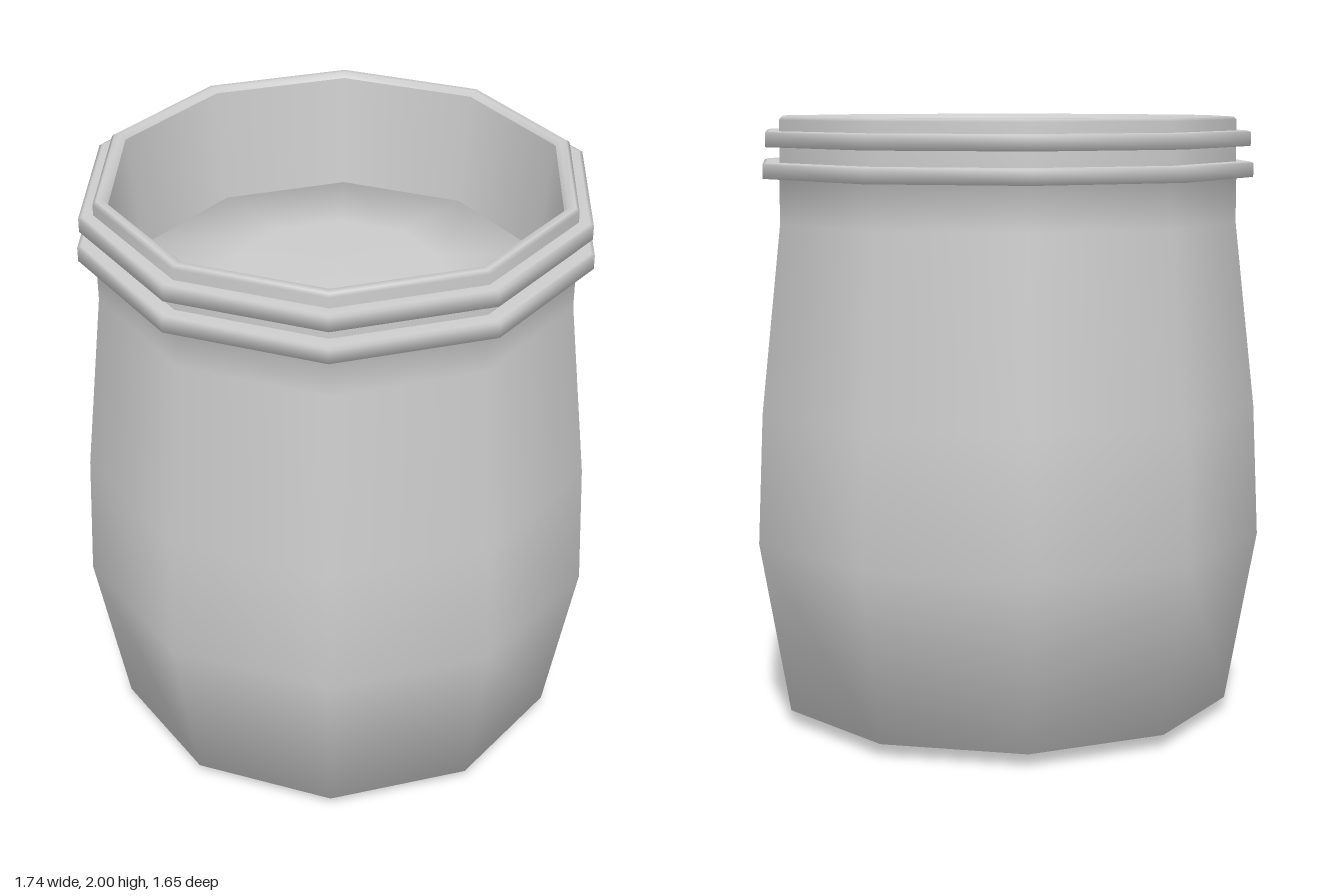
import * as THREE from 'three';

const SIDES = 10;
const material = new THREE.MeshStandardMaterial({ color: 0xcccccc });

// Ten-sided turned part with a corner on the x axis; profile points are [radius, y].
function turned(name, profile) {
  const points = profile.map(([r, y]) => new THREE.Vector2(r, y));
  const mesh = new THREE.Mesh(new THREE.LatheGeometry(points, SIDES, Math.PI / 2), material);
  mesh.name = name;
  return mesh;
}

export function createModel() {
  const jar = new THREE.Group();
  jar.name = 'jar';

  // Bulging body with a slightly raised bottom edge, up to the underside of the lower ring
  jar.add(turned('body', [
    [0, 0], [0.42, 0], [0.77, 0.045], [0.87, 0.62], [0.85, 1.05],
    [0.78, 1.66], [0.78, 1.805], [0.835, 1.805],
  ]));

  // Two raised rings around the neck
  for (const [name, radius, y] of [['lowerRing', 0.835, 1.805], ['upperRing', 0.825, 1.905]]) {
    jar.add(turned(name, [
      [0.77, y], [radius, y], [radius, y + 0.045], [radius - 0.012, y + 0.05], [0.77, y + 0.05],
    ]));
  }

  // Neck wall, rim and tapering inner wall
  jar.add(turned('neck', [[0.778, 1.8], [0.778, 1.99], [0.768, 2]]));
  jar.add(turned('rim', [[0.778, 1.99], [0.765, 2], [0.745, 2], [0.73, 1.985]]));
  jar.add(turned('innerWall', [[0.73, 1.985], [0.685, 1.6]]));

  // Contents with a softly rounded top
  jar.add(turned('contents', [[0.685, 1.35], [0.685, 1.61], [0.35, 1.635], [0, 1.64]]));

  return jar;
}
